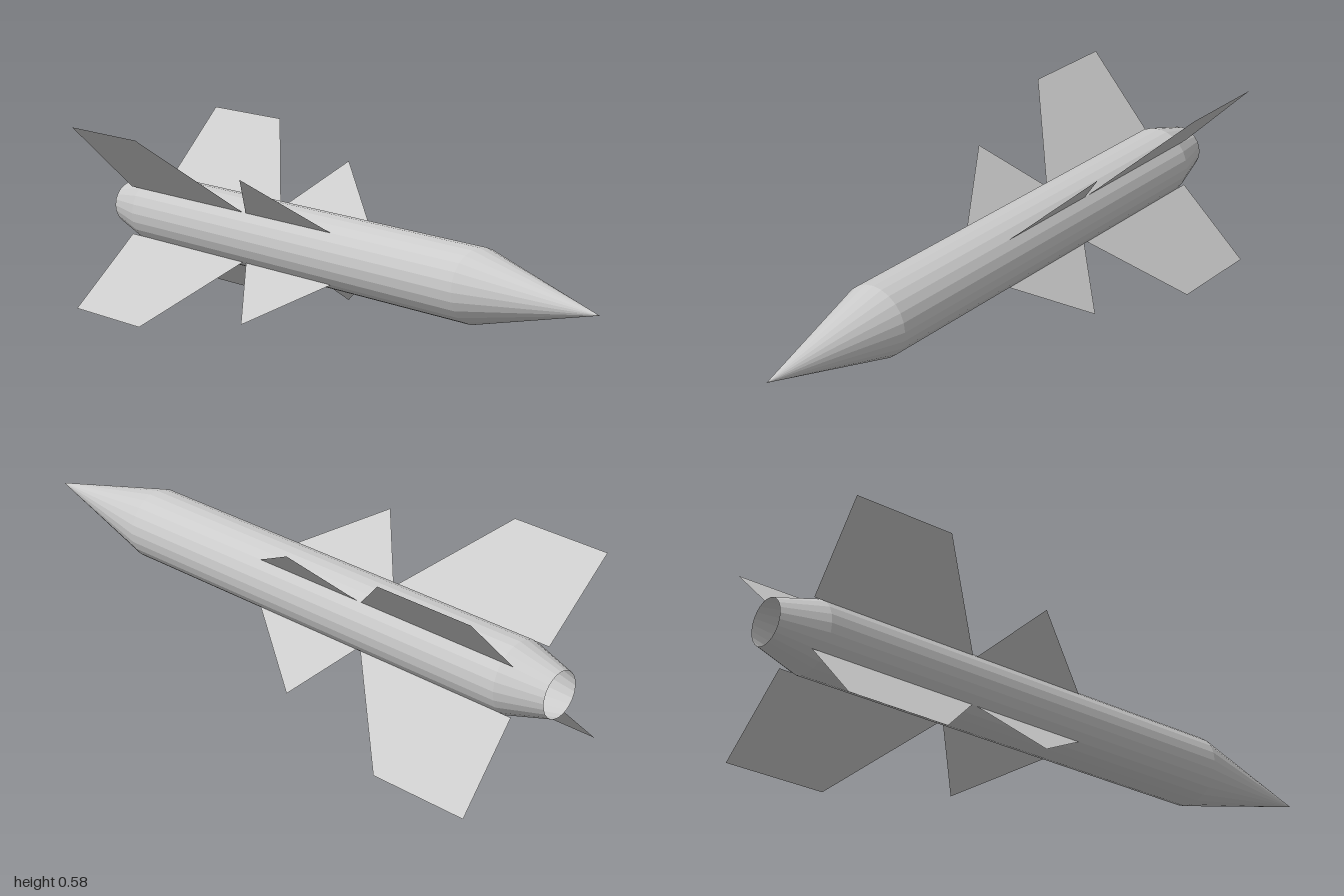
import * as THREE from 'three';

const SIDES = 24;
const RADIUS = 0.11;
const AXIS_HEIGHT = 0.292;

export function createModel() {
  const model = new THREE.Group();
  model.name = 'missile';
  model.position.y = AXIS_HEIGHT;

  const material = new THREE.MeshStandardMaterial({
    color: 0xcccccc, flatShading: true, side: THREE.DoubleSide,
  });

  // Open faceted section of the hull, from [radius, z] pairs listed back to front
  function addHullSection(name, profile) {
    const points = profile.map(([r, z]) => new THREE.Vector2(r, z));
    const geometry = new THREE.LatheGeometry(points, SIDES).rotateX(Math.PI / 2);
    const mesh = new THREE.Mesh(geometry, material);
    mesh.name = name;
    model.add(mesh);
  }

  addHullSection('tailCone', [[0.07, -1], [RADIUS, -0.86]]);
  addHullSection('body', [[RADIUS, -0.86], [RADIUS, 0.56]]);
  addHullSection('noseCone', [[RADIUS, 0.56], [0, 1]]);

  // Four paper-thin fins on the diagonals, outlined as [distance from axis, z]
  function addFins(name, outline) {
    const shape = new THREE.Shape(outline.map(([r, z]) => new THREE.Vector2(r, z)));
    const geometry = new THREE.ShapeGeometry(shape).rotateX(Math.PI / 2);
    const set = new THREE.Group();
    set.name = name + 's';
    for (let i = 0; i < 4; i++) {
      const fin = new THREE.Mesh(geometry, material);
      fin.name = name;
      fin.rotation.z = Math.PI / 4 + (i * Math.PI) / 2;
      set.add(fin);
    }
    model.add(set);
  }

  addFins('midFin', [[RADIUS, 0.04], [0.31, -0.2], [RADIUS, -0.34]]);
  addFins('tailFin', [[RADIUS, -0.355], [0.413, -0.6], [0.413, -0.92], [RADIUS, -0.9]]);

  const root = new THREE.Group();
  root.add(model);
  return root;
}
